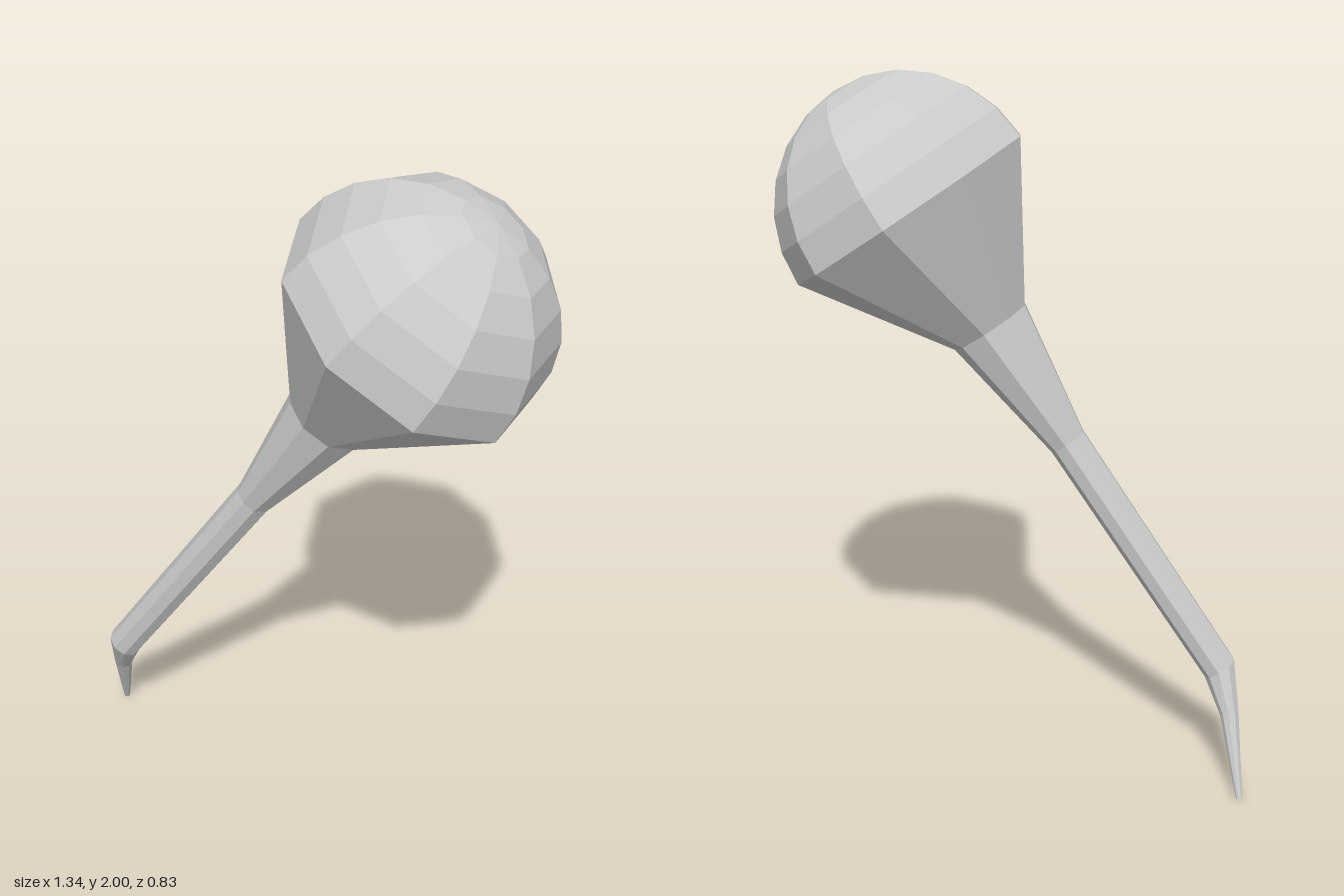
import * as THREE from 'three';

const SIDES = 9;
const V = (x, y, z) => new THREE.Vector3(x, y, z);
const AXIS = V(0.515, 0.818, -0.257).normalize();
const BASE = V(-0.515, 0.34, 0.362);   // lower end of the straight stem
const START = V(0.11, 0.046, 0.36);    // direction of the first corner of each ring

// One nine-sided ring, square to the given normal
function ring(center, radius, normal = AXIS) {
  const u = START.clone().addScaledVector(normal, -START.dot(normal)).normalize();
  const w = normal.clone().cross(u);
  return Array.from({ length: SIDES }, (_, i) => {
    const a = (i / SIDES) * Math.PI * 2;
    return center.clone().addScaledVector(u, radius * Math.cos(a)).addScaledVector(w, radius * Math.sin(a));
  });
}

const along = (s) => BASE.clone().addScaledVector(AXIS, s);

// Faceted skin through successive rings, from the tip upwards
function skin(name, rings, material) {
  const pos = [];
  const tri = (a, b, c) => {
    if (a.distanceTo(b) < 1e-6 || b.distanceTo(c) < 1e-6 || c.distanceTo(a) < 1e-6) return;
    for (const p of [a, b, c]) pos.push(p.x, p.y, p.z);
  };
  for (let i = 0; i < rings.length - 1; i++) {
    for (let j = 0; j < SIDES; j++) {
      const k = (j + 1) % SIDES;
      tri(rings[i][j], rings[i][k], rings[i + 1][k]);
      tri(rings[i][j], rings[i + 1][k], rings[i + 1][j]);
    }
  }
  const geometry = new THREE.BufferGeometry();
  geometry.setAttribute('position', new THREE.Float32BufferAttribute(pos, 3));
  geometry.computeVertexNormals();
  const mesh = new THREE.Mesh(geometry, material);
  mesh.name = name;
  return mesh;
}

export function createModel() {
  const group = new THREE.Group();
  group.name = 'bulbOnStem';
  const material = new THREE.MeshStandardMaterial({ color: 0xcccccc, flatShading: true });

  // Rings shared by neighbouring parts
  const tipEnd = V(-0.659, 0.005, 0.28);
  const tipMid = V(-0.575, 0.222, 0.335);
  const tipDir = tipMid.clone().sub(tipEnd).normalize();
  const foot = ring(BASE, 0.05);
  const stemTop = ring(along(0.79), 0.055);
  const neckTop = ring(along(1.18), 0.12);
  const R = 0.38;
  const bulbCenter = 1.57;
  const rim = ring(along(bulbCenter), R);

  // Bent, pointed lower end with a closed tip
  group.add(skin('tip', [ring(tipEnd, 0, tipDir), ring(tipEnd, 0.009, tipDir), ring(tipMid, 0.027, tipDir), foot], material));
  group.add(skin('stem', [foot, stemTop], material));
  group.add(skin('neck', [stemTop, neckTop], material));
  group.add(skin('bulbCone', [neckTop, rim], material));

  // Hemispherical cap, six bands up to the pole
  const cap = [rim];
  for (let i = 1; i <= 6; i++) {
    const a = (i / 6) * Math.PI / 2;
    cap.push(ring(along(bulbCenter + R * Math.sin(a)), i === 6 ? 0 : R * Math.cos(a)));
  }
  group.add(skin('bulbDome', cap, material));
  return group;
}
